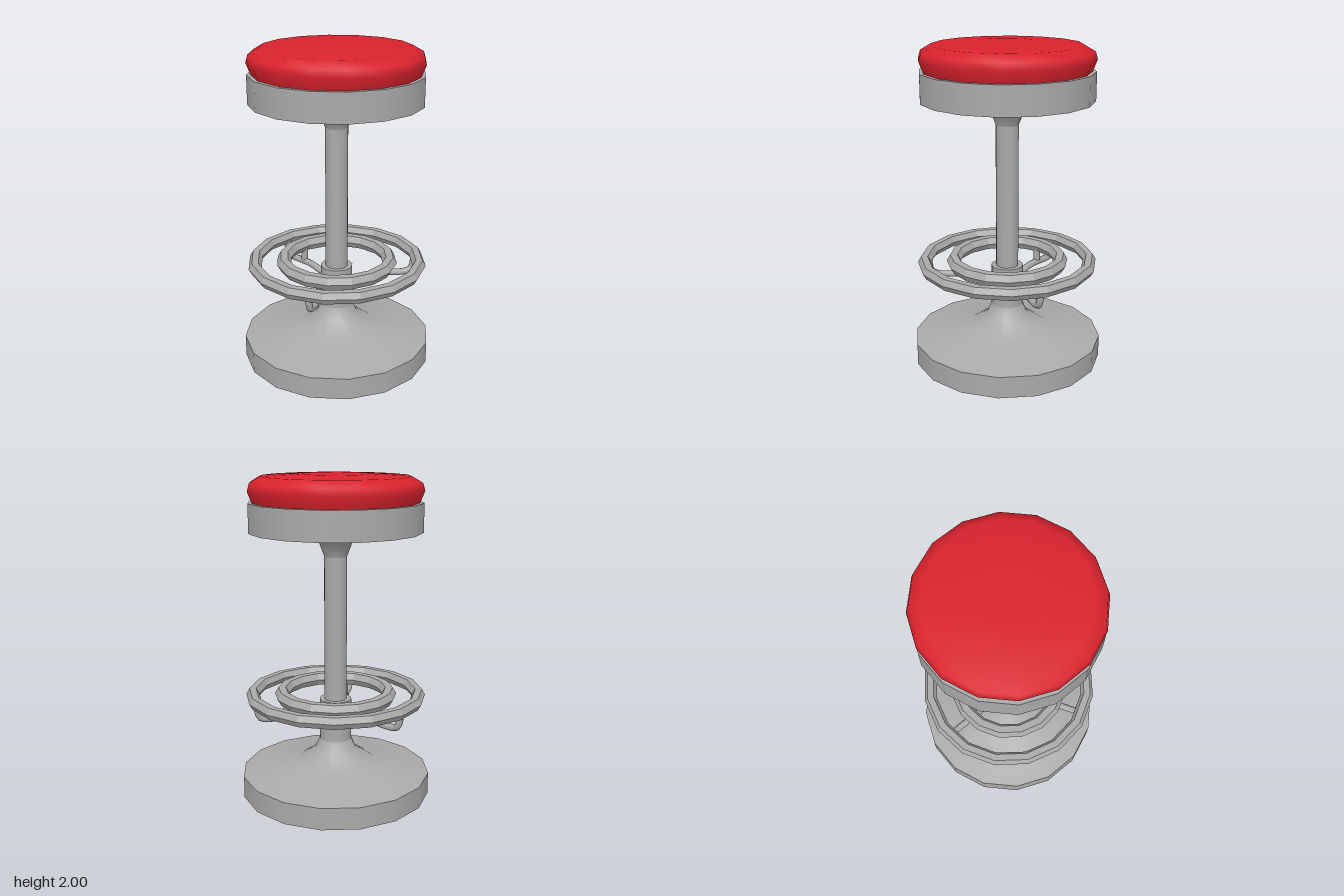
import * as THREE from 'three';

const SIDES = 16;

export function createModel() {
  const metal = new THREE.MeshStandardMaterial({ color: 0xaaaaaa });
  metal.name = 'brushedMetal';
  const red = new THREE.MeshStandardMaterial({ color: 0xd9222d });
  red.name = 'redVinyl';

  const stool = new THREE.Group();
  stool.name = 'barStool';

  const add = (name, geometry, material, parent = stool) => {
    const mesh = new THREE.Mesh(geometry, material);
    mesh.name = name;
    parent.add(mesh);
    return mesh;
  };

  // Turned part: each profile is smooth inside and meets the next at a hard edge
  const turned = (name, material, ...profiles) => {
    const group = new THREE.Group();
    group.name = name;
    profiles.forEach((profile, i) => {
      const points = profile.map(([r, y]) => new THREE.Vector2(r, y));
      add(`${name}Surface${i + 1}`, new THREE.LatheGeometry(points, SIDES), material, group);
    });
    stool.add(group);
  };

  // Foot with its sloping top and collar
  turned('base', metal,
    [[0, 0], [0.593, 0]],
    [[0.593, 0], [0.593, 0.137]],
    [[0.593, 0.137], [0.25, 0.2], [0.13, 0.28], [0.1, 0.35]],
    [[0.1, 0.35], [0.1, 0.61]],
    [[0.1, 0.61], [0.06, 0.61]]);

  // Post flaring out under the seat
  turned('column', metal,
    [[0.07, 0.58], [0.07, 1.51]],
    [[0.07, 1.51], [0.1, 1.59], [0.19, 1.662]]);

  turned('seatPan', metal,
    [[0, 1.66], [0.526, 1.66]],
    [[0.526, 1.66], [0.526, 1.835]],
    [[0.526, 1.835], [0, 1.835]]);

  turned('cushion', red,
    [[0.5, 1.832], [0.528, 1.905], [0.515, 1.95], [0.45, 1.988], [0.2, 2], [0, 2]]);

  // Faceted foot rings
  const ring = (name, radius, tube, y) => {
    const geometry = new THREE.TorusGeometry(radius, tube, 6, SIDES)
      .rotateX(Math.PI / 2).rotateY(0.13).toNonIndexed();
    geometry.computeVertexNormals();
    add(name, geometry, metal).position.y = y;
  };
  ring('outerFootRing', 0.521, 0.041, 0.637);
  ring('innerFootRing', 0.336, 0.045, 0.643);

  // Three bent arms, each carrying both rings
  const armPath = new THREE.CatmullRomCurve3([
    [0.08, 0.51], [0.15, 0.515], [0.26, 0.53], [0.44, 0.523],
    [0.485, 0.535], [0.502, 0.57], [0.505, 0.63],
  ].map(([x, y]) => new THREE.Vector3(x, y, 0)));
  const armGeometry = new THREE.TubeGeometry(armPath, 20, 0.022, 8);
  const studGeometry = new THREE.CylinderGeometry(0.022, 0.022, 0.1, 8, 1, true);
  for (let i = 0; i < 3; i++) {
    const arm = new THREE.Group();
    arm.name = `ringSupport${i + 1}`;
    arm.rotation.y = 0.08 + i * Math.PI * 2 / 3;
    add('bentArm', armGeometry, metal, arm);
    add('innerRingStud', studGeometry, metal, arm).position.set(0.32, 0.575, 0);
    stool.add(arm);
  }

  return stool;
}
